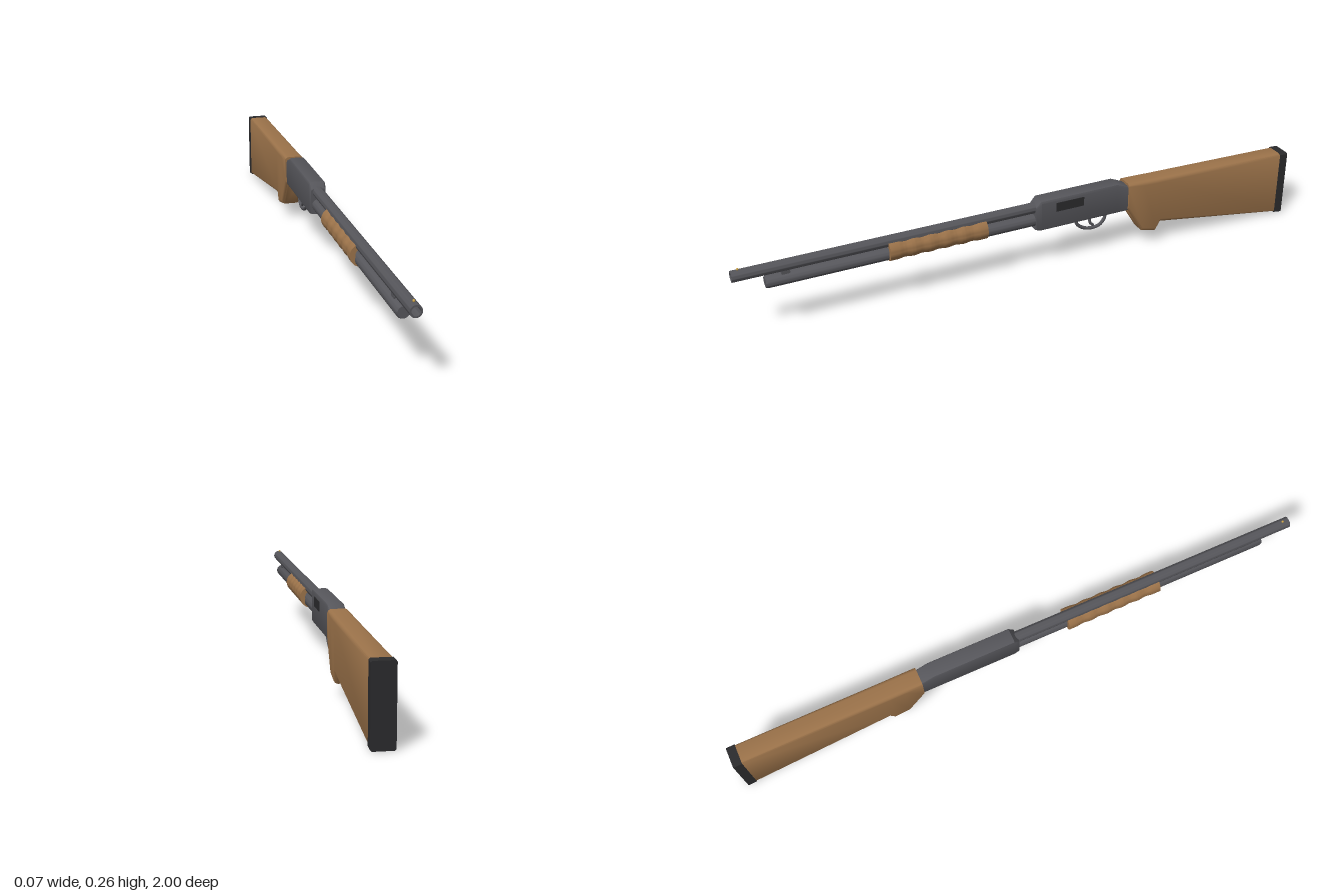
import * as THREE from 'three';
import { toCreasedNormals } from 'three/addons/utils/BufferGeometryUtils.js';

const mat = (color) => new THREE.MeshStandardMaterial({ color, side: THREE.DoubleSide });

// Skin over rounded-rectangle sections [z, bottom, top, halfWidth, cornerRadius], front to back
function loft(sections, arc) {
  const pos = [], idx = [], n = 4 * (arc + 1);
  for (const [z, y0, y1, w, r] of sections) {
    const corners = [[w - r, y0 + r, -0.5], [w - r, y1 - r, 0], [r - w, y1 - r, 0.5], [r - w, y0 + r, 1]];
    for (const [cx, cy, start] of corners) {
      for (let k = 0; k <= arc; k++) {
        const a = Math.PI * (start + 0.5 * k / arc);
        pos.push(cx + r * Math.cos(a), cy + r * Math.sin(a), z);
      }
    }
  }
  const last = sections.length - 1;
  for (let i = 0; i < last; i++) {
    for (let j = 0; j < n; j++) {
      const a = i * n + j, b = i * n + (j + 1) % n;
      idx.push(a, a + n, b, b, a + n, b + n);
    }
  }
  for (let j = 1; j < n - 1; j++) {
    idx.push(0, j, j + 1, last * n, last * n + j + 1, last * n + j);
  }
  const g = new THREE.BufferGeometry();
  g.setAttribute('position', new THREE.Float32BufferAttribute(pos, 3));
  g.setIndex(idx);
  return toCreasedNormals(g, 0.6);
}

// Turned part along z from [radius, z] points
function turned(points, y) {
  const g = new THREE.LatheGeometry(points.map(([r, z]) => new THREE.Vector2(r, z)), 32);
  return toCreasedNormals(g.rotateX(Math.PI / 2).translate(0, y, 0), 0.6);
}

// Bent rod in the centre plane through [y, z] points
function rod(points, radius) {
  const curve = new THREE.CatmullRomCurve3(points.map(([y, z]) => new THREE.Vector3(0, y, z)), false, 'centripetal');
  return new THREE.TubeGeometry(curve, 28, radius, 10);
}

export function createModel() {
  const model = new THREE.Group();
  const steel = mat(0x56565b), dark = mat(0x2b2b2d), wood = mat(0x9c734a), brass = mat(0xc9a24a);
  const add = (name, geometry, material) => {
    const mesh = new THREE.Mesh(geometry, material);
    mesh.name = name;
    model.add(mesh);
    return mesh;
  };

  // Shoulder stock with grip, and end pad
  add('stock', loft([
    [-0.352, 0.158, 0.255, 0.034, 0.014],
    [-0.412, 0.06, 0.254, 0.034, 0.014],
    [-0.465, 0.048, 0.252, 0.034, 0.014],
    [-0.482, 0.08, 0.252, 0.034, 0.014],
    [-0.97, 0.006, 0.241, 0.034, 0.01],
  ], 4), wood);
  add('buttPad', loft([
    [-0.97, 0.004, 0.242, 0.035, 0.004],
    [-1, 0, 0.24, 0.035, 0.004],
  ], 1), dark);

  // Receiver with sloped ends, side port
  add('receiver', loft([
    [-0.007, 0.156, 0.244, 0.025, 0.008],
    [-0.025, 0.152, 0.264, 0.028, 0.009],
    [-0.31, 0.152, 0.264, 0.028, 0.009],
    [-0.357, 0.152, 0.244, 0.028, 0.009],
  ], 2), steel);
  add('sidePort', new THREE.BoxGeometry(0.006, 0.032, 0.103).translate(0.027, 0.231, -0.13), dark);

  // Hollow barrel and the tube beneath it
  add('barrel', turned([[0.0185, -0.02], [0.0185, 1], [0.0135, 1], [0.0135, 0.9], [0, 0.9]], 0.232), steel);
  add('lowerTube', turned([[0.021, -0.02], [0.021, 0.893], [0.018, 0.9], [0, 0.9]], 0.187), steel);
  add('tubeBracket', new THREE.CylinderGeometry(0.014, 0.014, 0.022, 20)
    .rotateZ(Math.PI / 2).translate(0, 0.211, 0.835), steel);
  add('sightBead', new THREE.SphereGeometry(0.004, 12, 8).translate(0, 0.253, 0.977), brass);

  // Sliding fore-end with scalloped grip
  const grip = [[0.02, 0.17], [0.037, 0.17]];
  for (let i = 0; i <= 50; i++) {
    const t = i / 50;
    grip.push([0.0355 + 0.0015 * Math.cos(t * 10 * Math.PI), 0.195 + 0.285 * t]);
  }
  grip.push([0.037, 0.505], [0.02, 0.505]);
  add('foreEnd', turned(grip, 0.201), wood);

  // Trigger and its guard
  add('triggerGuard', rod([[0.156, -0.165], [0.13, -0.172], [0.109, -0.2], [0.103, -0.23],
    [0.108, -0.258], [0.13, -0.277], [0.156, -0.28]], 0.006), steel);
  add('trigger', rod([[0.156, -0.228], [0.14, -0.221], [0.125, -0.222], [0.112, -0.234]], 0.005), steel);

  return model;
}
